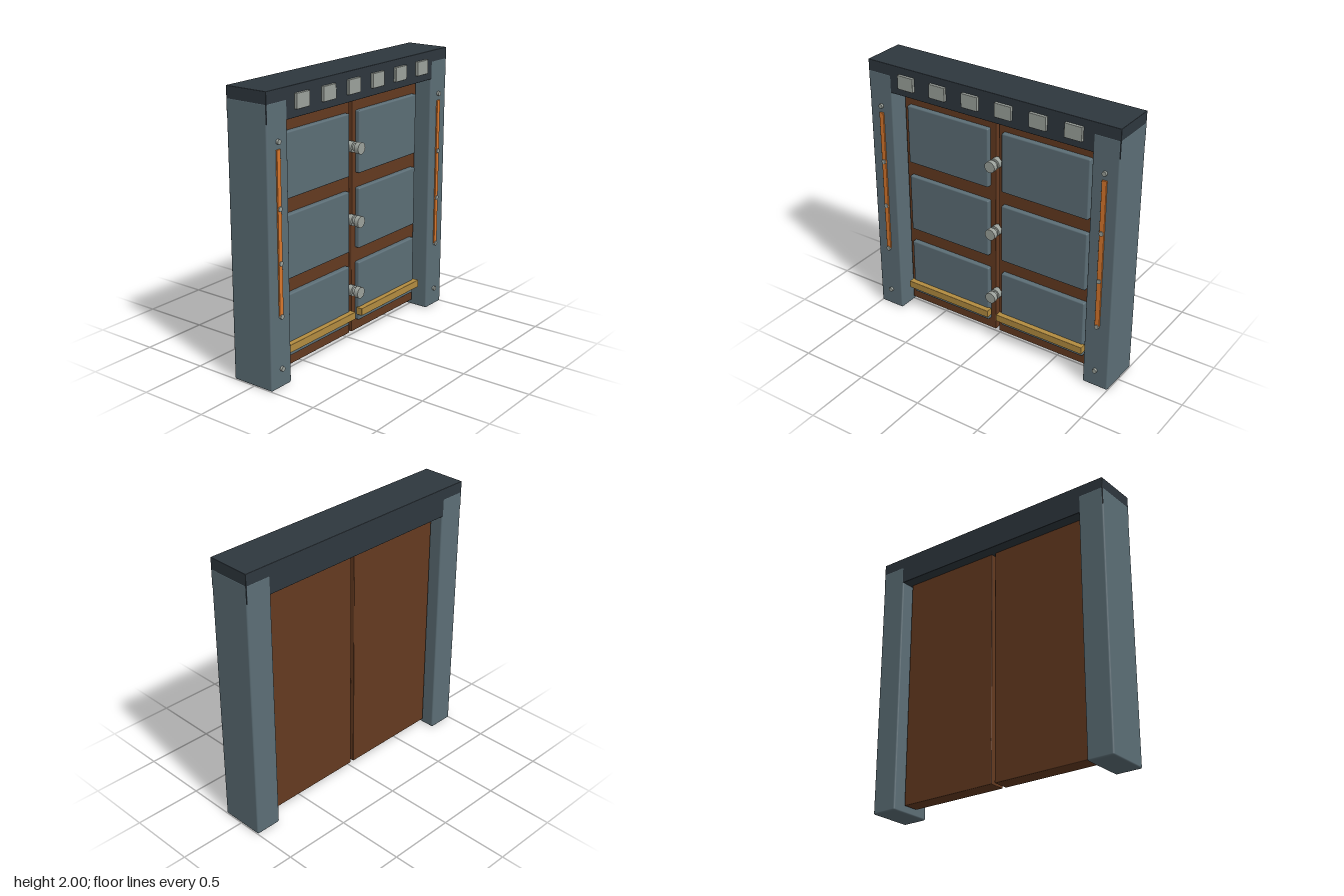
import * as THREE from 'three';
import { RoundedBoxGeometry } from 'three/addons/geometries/RoundedBoxGeometry.js';

const material = (name, color) => {
  const m = new THREE.MeshStandardMaterial({ color });
  m.name = name;
  return m;
};

// Box from its lower and upper corners, with softened edges
function block(name, mat, [x0, y0, z0], [x1, y1, z1], radius) {
  const geo = new RoundedBoxGeometry(x1 - x0, y1 - y0, z1 - z0, 2, radius);
  const mesh = new THREE.Mesh(geo, mat);
  mesh.position.set((x0 + x1) / 2, (y0 + y1) / 2, (z0 + z1) / 2);
  mesh.name = name;
  return mesh;
}

// Short cylinder whose axis runs along z
function disc(name, mat, x, y, z0, z1, radius, sides) {
  const geo = new THREE.CylinderGeometry(radius, radius, z1 - z0, sides).rotateX(Math.PI / 2);
  const mesh = new THREE.Mesh(geo, mat);
  mesh.position.set(x, y, (z0 + z1) / 2);
  mesh.name = name;
  return mesh;
}

export function createModel() {
  const slate = material('slate', 0x5c6e76);
  const dark = material('dark steel', 0x2e373e);
  const wood = material('brown wood', 0x643a20);
  const orange = material('orange', 0xd9772c);
  const gold = material('gold', 0xb38c40);
  const metal = material('pale metal', 0x9ca29c);

  const model = new THREE.Group();
  model.name = 'doubleGate';
  const back = -0.175, front = 0.155, doorBack = -0.09, doorFront = 0.035;

  // Lintel with its row of square plates
  model.add(block('lintel', dark, [-0.999, 1.79, back + 0.001], [0.999, 2, front - 0.001], 0.004));
  for (let i = 0; i < 6; i++) {
    const x = -0.667 + i * 0.267;
    model.add(block('lintelPlate', metal, [x - 0.065, 1.845, 0.14], [x + 0.065, 1.947, 0.175], 0.003));
  }

  for (const side of [-1, 1]) {
    // Spans are given for the +x side and mirrored for the other
    const span = (name, mat, x0, x1, y0, y1, z0, z1, r) => side > 0
      ? block(name, mat, [x0, y0, z0], [x1, y1, z1], r)
      : block(name, mat, [-x1, y0, z0], [-x0, y1, z1], r);

    // Pillar with a strip and rivets
    const pillar = new THREE.Group();
    pillar.name = side > 0 ? 'leftPillar' : 'rightPillar';
    pillar.add(span('post', slate, 0.803, 1, 0, 1.925, back, front, 0.012));
    pillar.add(span('strip', orange, 0.882, 0.918, 0.51, 1.62, 0.14, 0.165, 0.003));
    for (const y of [0.135, 0.505, 0.87, 1.235, 1.67])
      pillar.add(disc('rivet', metal, side * 0.9, y, 0.14, 0.172, 0.017, 10));
    model.add(pillar);

    // Door leaf with three raised panels and a kick bar
    const door = new THREE.Group();
    door.name = side > 0 ? 'leftDoor' : 'rightDoor';
    door.add(span('leaf', wood, 0.013, 0.786, 0.045, 1.81, doorBack, doorFront, 0.006));
    for (const y of [0.13, 0.682, 1.235])
      door.add(span('panel', slate, 0.055, 0.742, y, y + 0.446, 0.02, 0.07, 0.01));
    door.add(span('kickBar', gold, 0.037, 0.757, 0.18, 0.235, 0.06, 0.11, 0.003));
    model.add(door);
  }

  // Round bolts bridging the gap between the leaves
  for (const y of [0.375, 0.905, 1.435]) {
    const bolt = new THREE.Group();
    bolt.name = 'bolt';
    bolt.add(disc('boltFlange', metal, 0, y, doorFront - 0.01, 0.07, 0.04, 12));
    bolt.add(disc('boltNeck', metal, 0, y, 0.065, 0.1, 0.026, 12));
    bolt.add(disc('boltHead', metal, 0, y, 0.095, 0.13, 0.042, 12));
    model.add(bolt);
  }
  return model;
}
